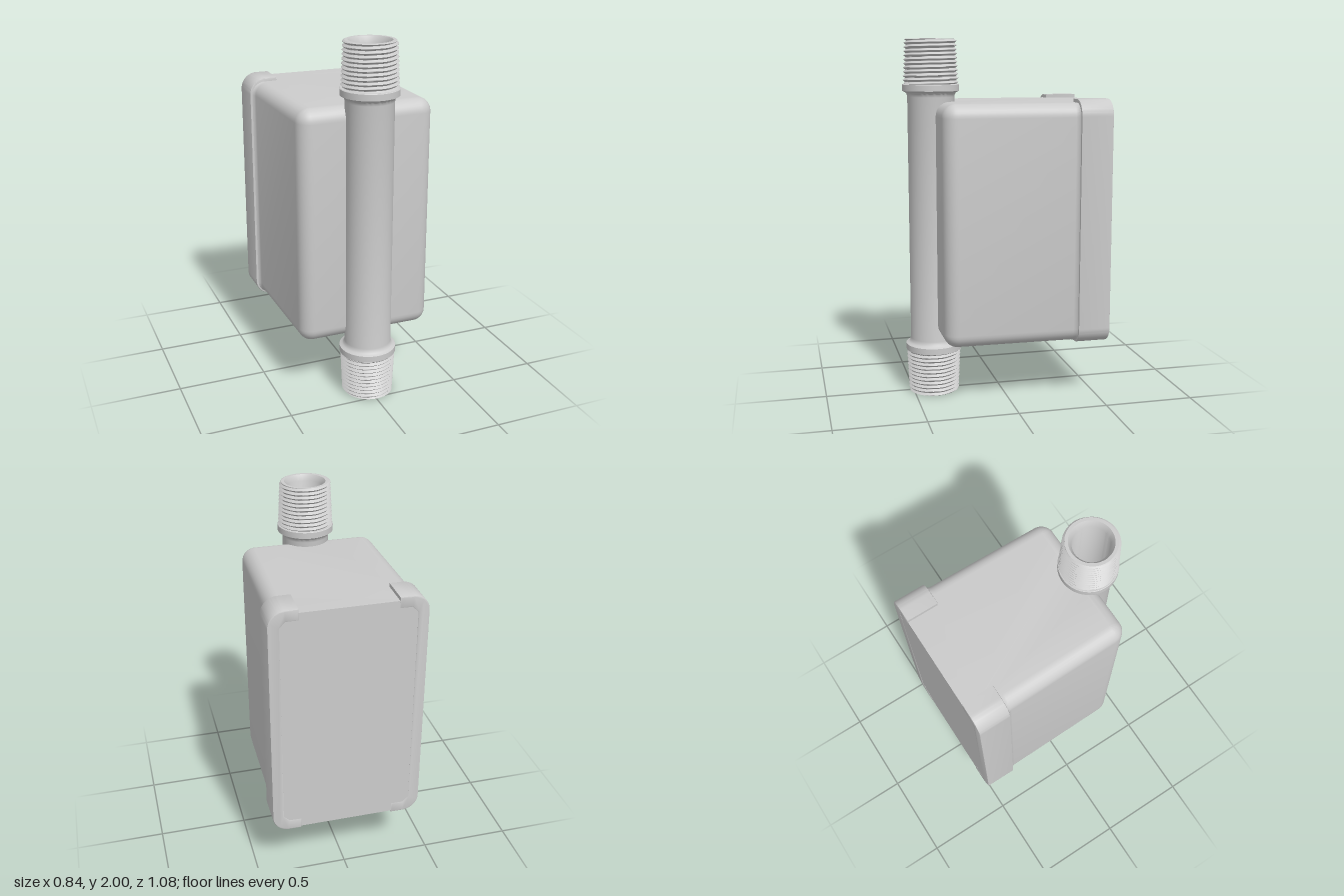
import * as THREE from 'three';
import { mergeGeometries, toCreasedNormals } from 'three/addons/utils/BufferGeometryUtils.js';

const mat = new THREE.MeshStandardMaterial({ color: 0xcccccc });
const PIPE_Z = 0.38;

function part(name, geometry) {
  const mesh = new THREE.Mesh(geometry, mat);
  mesh.name = name;
  return mesh;
}

// Plan outline of the housing, pulled in by d; notched where the pipe runs.
function housingOutline(d) {
  const r = 0.075, front = 0.376, hw = 0.383;
  const half = [[0.398, -0.538], [0.41, -0.362], [0.399, -0.354], [0.393, -0.338]]
    .map(([x, z]) => [x - d, z]);
  const rr = Math.max(r - d, 0.003);
  for (let i = 0; i <= 8; i++) {
    const a = (i / 8) * Math.PI / 2;
    half.push([hw - r + rr * Math.cos(a), front - r + rr * Math.sin(a)]);
  }
  const zFront = front - r + rr;
  half.push([0.112, zFront], [0.11, Math.min(0.31, zFront - 0.002)]);
  return [...half, ...half.map(([x, z]) => [-x, z]).reverse()];
}

function housingGeometry() {
  const y0 = 0.34, y1 = 1.66, r = 0.075, steps = 8;
  const levels = [];
  for (let i = 0; i <= steps; i++) {
    const a = (i / steps) * Math.PI / 2;
    levels.push([y0 + r * (1 - Math.cos(a)), r * (1 - Math.sin(a))]);
  }
  // The last level of the lower edge has d = r at a = 0 and d = 0 at a = 90 degrees.
  const all = [...levels, ...levels.map(([y, d]) => [y0 + y1 - y, d]).reverse()];
  const pos = [], index = [];
  const n = housingOutline(0).length;
  all.forEach(([y, d]) => housingOutline(d).forEach(([x, z]) => pos.push(x, y, z)));
  for (let j = 0; j < all.length - 1; j++) {
    for (let i = 0; i < n; i++) {
      const a = j * n + i, b = j * n + (i + 1) % n;
      index.push(a, a + n, b, b, a + n, b + n);
    }
  }
  const wall = new THREE.BufferGeometry();
  wall.setAttribute('position', new THREE.Float32BufferAttribute(pos, 3));
  wall.setIndex(index);

  // Flat top and bottom
  const cap = (s, y) => {
    const shape = new THREE.Shape(housingOutline(r).map(([x, z]) => new THREE.Vector2(x, -s * z)));
    const g = new THREE.ShapeGeometry(shape).rotateX(-s * Math.PI / 2).translate(0, y, 0);
    g.deleteAttribute('uv');
    g.deleteAttribute('normal');
    return g;
  };
  const parts = [wall, cap(1, y1), cap(-1, y0)].map(g => g.toNonIndexed());
  return toCreasedNormals(mergeGeometries(parts), 0.6);
}

// C-shaped bracket that wraps one side of the housing back
function bracketGeometry(side) {
  const b = 0.006, x0 = 0.26 + b, x1 = 0.42 - b, y0 = 0.33 + b, y1 = 1.68 - b, r = 0.085, t = 0.05;
  const s = new THREE.Shape();
  s.moveTo(x0, y0);
  s.lineTo(x1 - r, y0);
  s.absarc(x1 - r, y0 + r, r, -Math.PI / 2, 0, false);
  s.lineTo(x1, y1 - r);
  s.absarc(x1 - r, y1 - r, r, 0, Math.PI / 2, false);
  s.lineTo(x0, y1);
  s.lineTo(x0, y1 - t);
  s.lineTo(x1 - r, y1 - t);
  s.lineTo(x1 - t, y1 - r);
  s.lineTo(x1 - t, y0 + r);
  s.lineTo(x1 - r, y0 + t);
  s.lineTo(x0, y0 + t);
  const g = new THREE.ExtrudeGeometry(s, {
    depth: 0.18 - 2 * b, bevelSize: b, bevelThickness: b, bevelSegments: 2, curveSegments: 10,
  });
  g.translate(0, 0, -0.54 + b);
  if (side < 0) g.rotateZ(Math.PI).translate(0, y0 + y1, 0);
  return toCreasedNormals(g, 0.6);
}

// Hollow pipe with a flared collar near each end
function pipeGeometry() {
  const lower = [[0.096, 0.03], [0.115, 0], [0.132, 0], [0.132, 0.245], [0.154, 0.245], [0.157, 0.248],
    [0.157, 0.282], [0.15, 0.286], [0.14, 0.291], [0.133, 0.3], [0.13, 0.315]];
  const upper = lower.map(([r, y]) => [r, 2 - y]).reverse();
  const profile = [...lower, ...upper, lower[0]].map(([r, y]) => new THREE.Vector2(r, y));
  return toCreasedNormals(new THREE.LatheGeometry(profile, 64), 0.6);
}

// Tapered helical thread, narrow end up
function threadGeometry() {
  const h = 0.245, turns = 11;
  const g = new THREE.CylinderGeometry(1, 1, h, 64, turns * 8, true);
  const p = g.attributes.position;
  for (let i = 0; i < p.count; i++) {
    const x = p.getX(i), z = p.getZ(i), v = p.getY(i) / h + 0.5;
    const phase = v * turns - Math.atan2(x, z) / (2 * Math.PI);
    const wave = Math.abs(2 * (phase - Math.floor(phase)) - 1);
    let r = THREE.MathUtils.lerp(0.155, 0.144, v) - 0.014 * (1 - wave);
    if (v > 0.999 || v < 0.001) r = 0.132;
    p.setX(i, x * r);
    p.setZ(i, z * r);
  }
  return toCreasedNormals(g, 0.5);
}

export function createModel() {
  const model = new THREE.Group();
  model.name = 'inlineSensorUnit';
  model.add(part('housing', housingGeometry()));
  model.add(part('leftBracket', bracketGeometry(1)), part('rightBracket', bracketGeometry(-1)));

  const pipe = part('pipe', pipeGeometry());
  pipe.position.z = PIPE_Z;
  const topThread = part('topThread', threadGeometry());
  topThread.position.set(0, 2 - 0.1225, PIPE_Z);
  const bottomThread = part('bottomThread', threadGeometry());
  bottomThread.rotation.z = Math.PI;
  bottomThread.position.set(0, 0.1225, PIPE_Z);
  model.add(pipe, topThread, bottomThread);
  return model;
}
